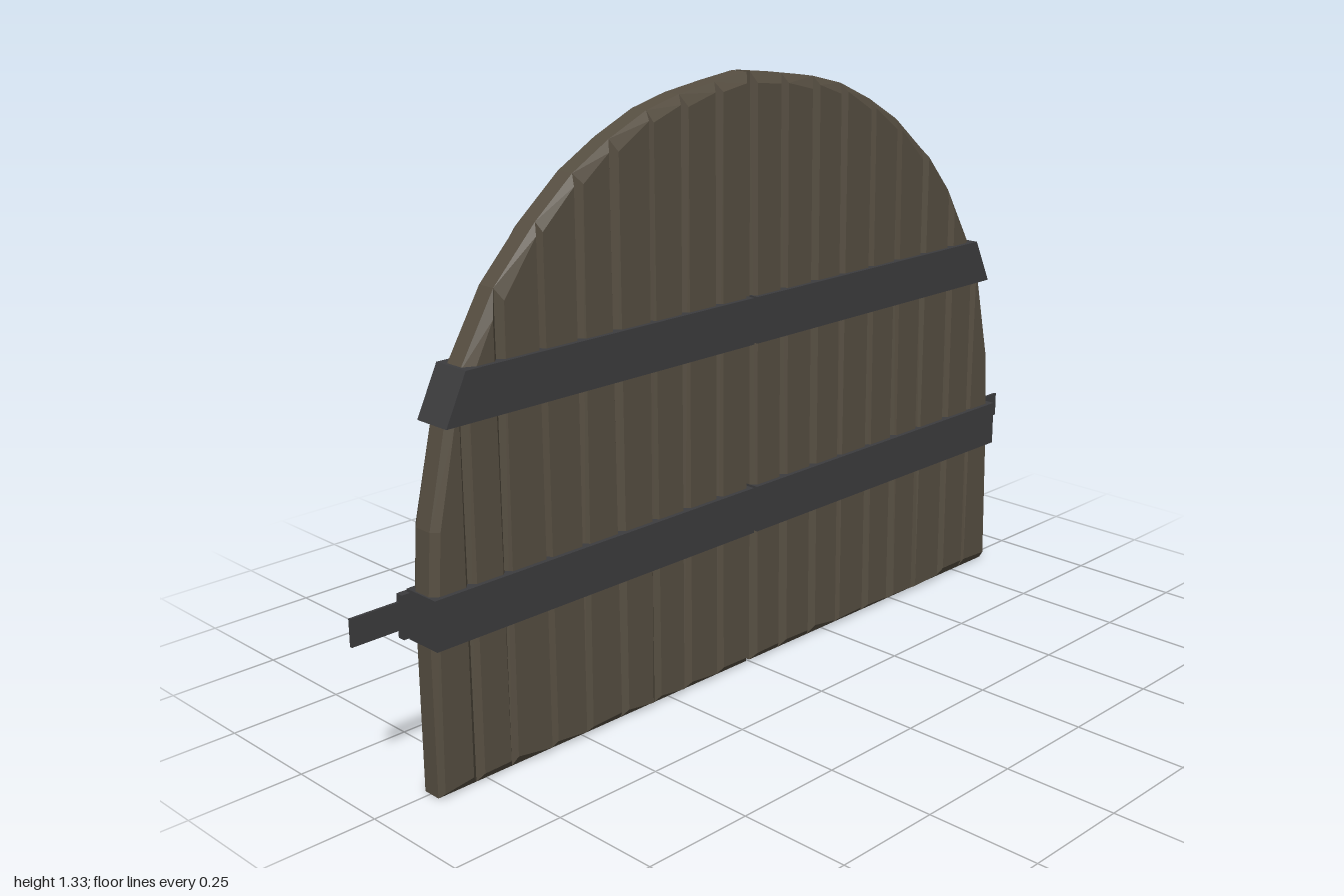
import * as THREE from 'three';

const wood = new THREE.MeshStandardMaterial({ color: 0x564e41, flatShading: true });
const metal = new THREE.MeshStandardMaterial({ color: 0x3c3c3e, flatShading: true });

// seeded random for the hand-hewn plank edges
let seed = 7;
const rand = (a, b) => {
  seed = (seed * 16807) % 2147483647;
  return a + (b - a) * (seed / 2147483647);
};

// lofts rings [{ z, pts }] (back to front, counter-clockwise seen from +z) into a closed solid
function loft(rings, side) {
  const pos = [];
  const n = rings[0].pts.length;
  const vert = (r, i) => [side * r.pts[i % n][0], r.pts[i % n][1], r.z];
  const tri = (a, b, c) => pos.push(...a, ...(side > 0 ? b : c), ...(side > 0 ? c : b));
  for (let k = 0; k < rings.length - 1; k++) {
    for (let i = 0; i < n; i++) {
      const a = vert(rings[k], i), b = vert(rings[k], i + 1);
      const c = vert(rings[k + 1], i + 1), d = vert(rings[k + 1], i);
      tri(a, b, c);
      tri(a, c, d);
    }
  }
  const back = rings[0], front = rings[rings.length - 1];
  for (let i = 1; i < n - 1; i++) {
    tri(vert(back, 0), vert(back, i + 1), vert(back, i));
    tri(vert(front, 0), vert(front, i), vert(front, i + 1));
  }
  const geo = new THREE.BufferGeometry();
  geo.setAttribute('position', new THREE.Float32BufferAttribute(pos, 3));
  geo.computeVertexNormals();
  return geo;
}

// uneven chamfer: pulls each corner of a plank outline inwards
function inset(pts) {
  const last = pts.length - 1;
  return pts.map(([x, y], i) => {
    const left = i === 0 || i === last;
    const dx = rand(0.005, 0.016) * (left ? 1 : -1);
    const dy = y === 0 ? rand(0.008, 0.024)
      : left || i === 2 ? -rand(0.018, 0.026) - (left && x > 0.6 ? 0.03 : 0) : 0;
    return [x + dx, y + dy];
  });
}

// plank seams and the arch height at each one
const seams = [0.005, 0.1, 0.2, 0.29, 0.39, 0.485, 0.58, 0.685, 0.775, 0.868];
const tops = [1.33, 1.318, 1.303, 1.28, 1.235, 1.18, 1.1, 0.99, 0.84, 0.4];

function createLeaf(side) {
  const leaf = new THREE.Group();
  leaf.name = side > 0 ? 'leftLeaf' : 'rightLeaf';
  const add = (name, geo, mat, parent = leaf) => {
    const mesh = new THREE.Mesh(geo, mat);
    mesh.name = name;
    parent.add(mesh);
    return mesh;
  };
  const slab = (pts, z0, z1) => loft([{ z: z0, pts }, { z: z1, pts }], side);
  const rect = (x0, x1, y0, y1) => [[x0, y0], [x1, y0], [x1, y1], [x0, y1]];

  // planks
  const planks = new THREE.Group();
  planks.name = 'planks';
  leaf.add(planks);
  for (let i = 0; i < 9; i++) {
    const x0 = seams[i], x1 = seams[i + 1];
    const pts = [[x0, 0], [x1, 0], [x1, tops[i + 1]]];
    if (i === 8) pts.push([0.857, 0.55], [0.812, 0.75]); // outer plank follows the arch
    pts.push([x0, tops[i]]);
    add('plank' + (i + 1), loft([
      { z: -0.031, pts: inset(pts) },
      { z: -0.017, pts },
      { z: 0.025, pts },
      { z: 0.039, pts: inset(pts) },
    ], side), wood, planks);
  }

  // iron straps wrapping both faces
  add('upperStrap', slab([[0.005, 0.75], [0.825, 0.75], [0.775, 0.853], [0.005, 0.853]], -0.04, 0.049), metal);
  add('lowerStrap', slab(rect(0.005, 0.87, 0.318, 0.423), -0.04, 0.049), metal);

  // hinge knuckle and thin wall tongue
  add('hingeKnuckle', slab(rect(0.862, 0.889, 0.325, 0.417), -0.047, -0.03), metal);
  add('hingeTongue', slab(rect(0.88, 1.0, 0.343, 0.401), -0.045, -0.039), metal);
  return leaf;
}

export function createModel() {
  const gate = new THREE.Group();
  gate.name = 'archedGate';
  gate.add(createLeaf(1), createLeaf(-1));
  return gate;
}
